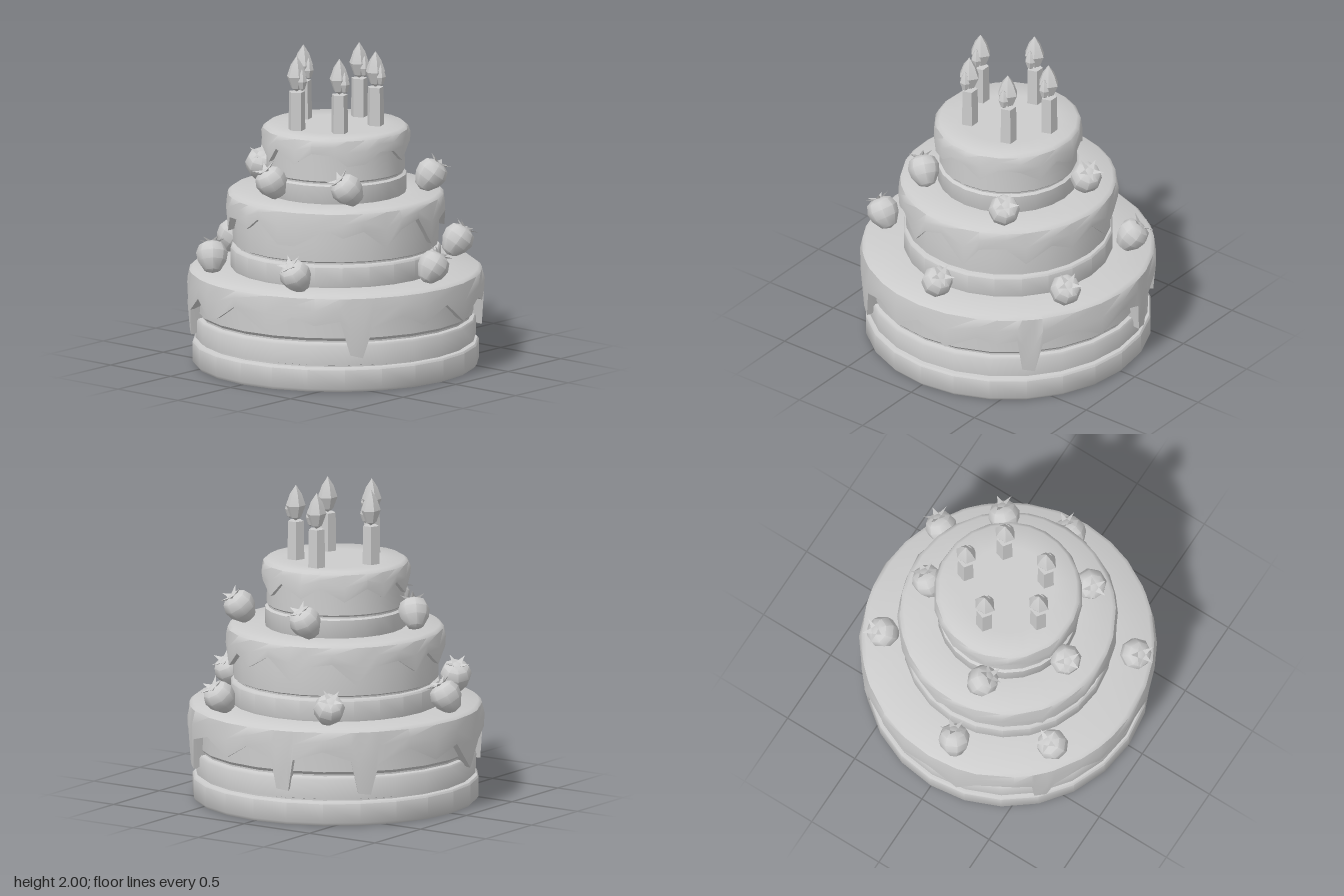
import * as THREE from 'three';
import { toCreasedNormals } from 'three/addons/utils/BufferGeometryUtils.js';

const clay = new THREE.MeshStandardMaterial({ color: 0xcccccc });
clay.name = 'pale grey';

const CREASE = 0.7;

function mesh(name, geometry, parent, crease = CREASE) {
  const m = new THREE.Mesh(toCreasedNormals(geometry, crease), clay);
  m.name = name;
  parent.add(m);
  return m;
}

function lathe(profile, sides) {
  return new THREE.LatheGeometry(profile.map(([r, y]) => new THREE.Vector2(r, y)), sides);
}

// Icing cap: flat top, rounded rim and a wall that ends at a dripping edge.
// Edge points are [azimuth in degrees from the front, height].
function icing(R, top, edge, inner) {
  const pos = [], index = [];
  const cols = [...edge, [edge[0][0] + 360, edge[0][1]]];
  const rows = 8;
  cols.forEach(([deg, low], i) => {
    const a = THREE.MathUtils.degToRad(deg);
    const wobble = 0.006 * Math.sin(i * 2.3) * (i === cols.length - 1 ? 0 : 1);
    const tip = R - 0.06 * Math.max(0, top - low - 0.15);
    const mid = (top + low) / 2;
    const profile = [
      [0, top], [R * 0.6, top - 0.004], [R - 0.035, top], [R - 0.012, top - 0.018],
      [R + wobble, mid], [tip, low], [tip - 0.025, low + 0.004], [inner, low + 0.03]
    ];
    for (const [r, y] of profile) pos.push(r * Math.sin(a), y, r * Math.cos(a));
    if (i === cols.length - 1) return;
    for (let j = 0; j < rows - 1; j++) {
      const p = i * rows + j, q = p + rows;
      if (j > 0) index.push(p, p + 1, q);
      index.push(p + 1, q + 1, q);
    }
  });
  const g = new THREE.BufferGeometry();
  g.setAttribute('position', new THREE.Float32BufferAttribute(pos, 3));
  g.setIndex(index);
  return g;
}

const bottomEdge = [
  [-90, .45], [-78, .26], [-70, .42], [-55, .45], [-48, .42], [-47, .22], [-42, .2], [-39, .37],
  [-27, .48], [-19, .38], [-12, .4], [-2, .5], [13, .36], [24, .48], [33, .43], [43, .46],
  [47, .24], [52, .22], [56, .42], [68, .48], [78, .4], [90, .5], [102, .36], [115, .47],
  [123, .43], [131, .46], [133, .24], [138, .22], [141, .42], [155, .48], [167, .38], [178, .48],
  [189, .42], [191, .23], [196, .22], [198, .42], [210, .48], [221, .42], [224, .21], [229, .2],
  [232, .4], [245, .48], [258, .38]
];
const middleEdge = [
  [-75, .9], [-61, .98], [-53, .99], [-39, .87], [-33, .97], [-21, .98], [-13, .94], [-4, 1.02],
  [9, .88], [19, .88], [36, .99], [45, .94], [56, .98], [69, .86], [78, .97], [90, 1.02],
  [103, .83], [112, .97], [126, .99], [137, .87], [151, .98], [163, .92], [177, 1.01], [190, .87],
  [201, .97], [213, .99], [226, .85], [237, .97], [250, .99], [262, .9], [272, 1.0]
];
const topEdge = [
  [-75, 1.34], [-57, 1.43], [-43, 1.41], [-23, 1.33], [-12, 1.43], [7, 1.35], [22, 1.43],
  [40, 1.42], [50, 1.35], [65, 1.36], [78, 1.43], [92, 1.42], [105, 1.34], [120, 1.43],
  [137, 1.41], [153, 1.33], [168, 1.43], [187, 1.35], [203, 1.43], [222, 1.34], [240, 1.42],
  [255, 1.35], [270, 1.43]
];

// Sponge profiles run from the base upwards, with grooves between layers.
const tiers = [
  { name: 'bottom', R: 0.93, top: 0.62, edge: bottomEdge, inner: 0.84, sponge: [
    [0, 0], [.885, 0], [.9, .02], [.9, .14], [.89, .152], [.86, .155], [.86, .165], [.88, .17],
    [.885, .29], [.875, .305], [.85, .31], [.85, .32], [.87, .34], [.87, .59], [0, .59]] },
  { name: 'middle', R: 0.69, top: 1.11, edge: middleEdge, inner: 0.61, sponge: [
    [0, .6], [.65, .6], [.66, .63], [.66, .745], [.65, .757], [.625, .76], [.625, .77], [.645, .78],
    [.65, .9], [.635, 1.08], [0, 1.08]] },
  { name: 'top', R: 0.468, top: 1.53, edge: topEdge, inner: 0.39, sponge: [
    [0, 1.09], [.435, 1.09], [.445, 1.11], [.445, 1.22], [.425, 1.23], [.425, 1.24], [.435, 1.25],
    [.43, 1.5], [0, 1.5]] }
];

// Berry with a crown of pointed leaves, tilted so the crown faces (dx, dz).
function berry(x, y, z, dx, dz) {
  const g = new THREE.Group();
  g.name = 'strawberry';
  mesh('berryBody', lathe([[0, -.108], [.05, -.092], [.09, -.03], [.1, .025], [.08, .075], [.04, .095], [0, .097]], 8), g, 0.8);
  for (let i = 0; i < 5; i++) {
    const leaf = new THREE.ConeGeometry(0.028, 0.085, 3);
    leaf.scale(1, 1, 0.45);
    leaf.rotateX(1.15);
    leaf.translate(0, 0.1, 0.045);
    leaf.rotateY(i * Math.PI * 2 / 5);
    mesh('berryLeaf', leaf, g);
  }
  g.quaternion.setFromUnitVectors(new THREE.Vector3(0, 1, 0), new THREE.Vector3(dx, 0.085, dz).normalize());
  g.position.set(x, y, z);
  return g;
}

function flame(h, r) {
  const geo = lathe([[0, 0], [r * 0.55, h * 0.1], [r, h * 0.43], [r * 0.6, h * 0.75], [0, h]], 6);
  return geo.scale(0.85, 1, 1.05);
}

function candle(x, z) {
  const g = new THREE.Group();
  g.name = 'candle';
  const stick = new THREE.CylinderGeometry(0.052, 0.056, 0.26, 5);
  mesh('candleStick', stick.translate(0, 1.64, 0), g, 0.4);
  mesh('flame', flame(0.23, 0.068).translate(0, 1.77, 0), g, 0.3);
  mesh('innerFlame', flame(0.14, 0.035).translate(0.045, 1.78, 0), g, 0.3);
  g.position.set(x, 0, z);
  return g;
}

export function createModel() {
  const cake = new THREE.Group();
  cake.name = 'tieredCake';

  for (const t of tiers) {
    mesh(t.name + 'Sponge', lathe(t.sponge, 24), cake);
    mesh(t.name + 'Icing', icing(t.R, t.top, t.edge, t.inner), cake);
  }

  // Berries on the two ledges: x, z, crown direction
  const lowerBerries = [
    [-.41, -.66, -.05, -.05], [.37, -.73, .03, -.06], [.78, -.03, .02, -.06],
    [.32, .74, -.01, .06], [-.47, .64, -.03, -.03], [-.78, .1, .04, -.03]];
  const upperBerries = [
    [-.13, -.51, .02, -.05], [.49, -.34, .04, -.05], [.41, .35, -.04, .06],
    [-.1, .49, -.03, .04], [-.51, .13, .04, .04]];
  for (const [x, z, dx, dz] of lowerBerries) cake.add(berry(x, 0.715, z, dx, dz));
  for (const [x, z, dx, dz] of upperBerries) cake.add(berry(x, 1.215, z, dx, dz));

  const candles = [[-.05, -.28], [.2, -.15], [-.27, 0], [.18, .17], [-.08, .28]];
  for (const [x, z] of candles) cake.add(candle(x, z));

  return cake;
}
